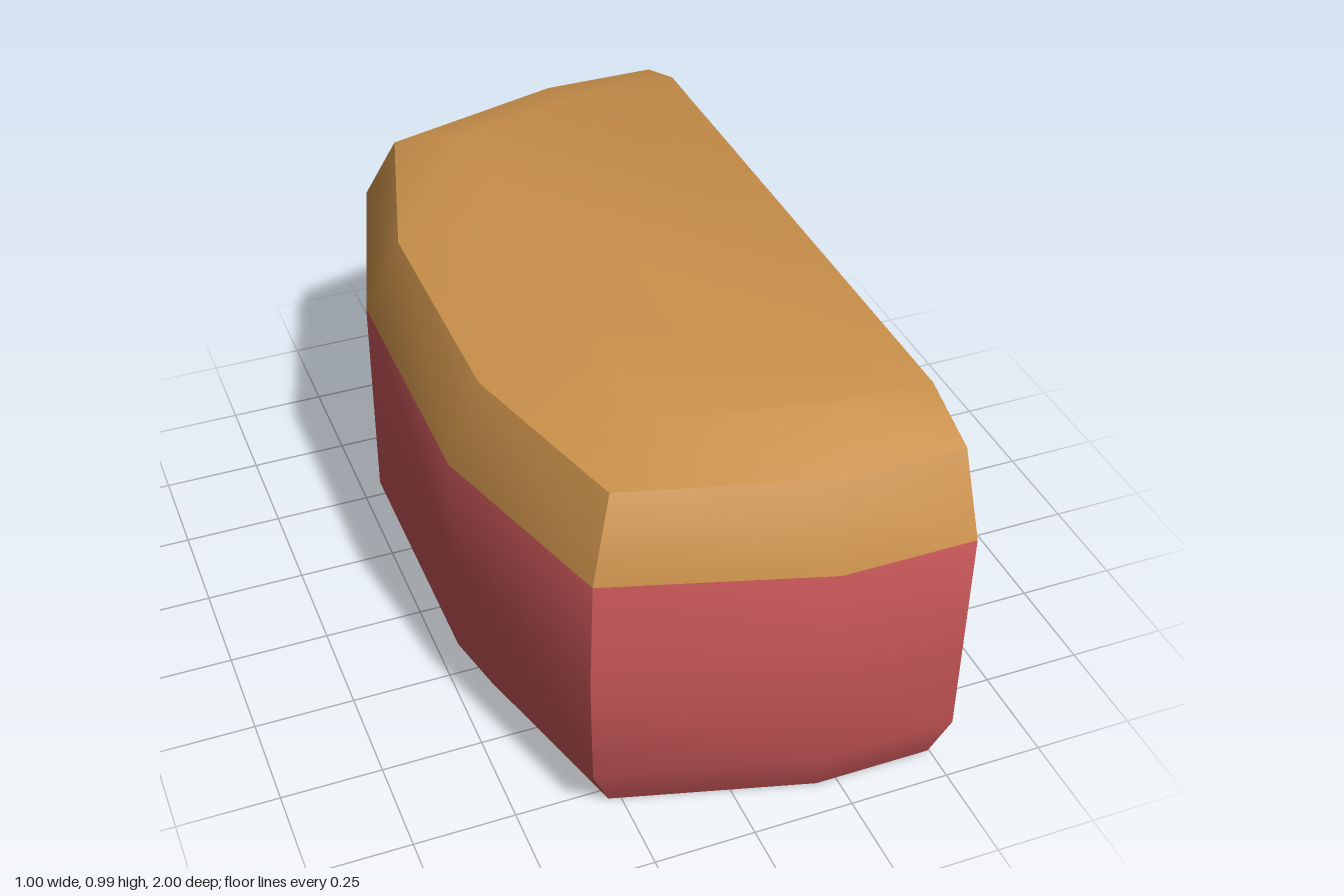
import * as THREE from 'three';
import { toCreasedNormals } from 'three/addons/utils/BufferGeometryUtils.js';

const mat = (name, color) => {
  const m = new THREE.MeshStandardMaterial({ color });
  m.name = name;
  return m;
};

const CUT = 0.496; // x of the flat cut side

// Half outline in plan, front half given as [x, z], mirrored to the back
const ring = (y, half, cornerY = y) => {
  const front = half.map(([x, z], i) => new THREE.Vector3(x, i === 2 ? cornerY : y, z));
  const back = front.map((p) => new THREE.Vector3(p.x, p.y, -p.z)).reverse();
  return [...front, ...back];
};

export function createModel() {
  const group = new THREE.Group();
  const red = mat('red', 0xc65557);
  const crust = mat('golden brown', 0xcc924b);
  const cream = mat('cream', 0xdeba8e);

  const small = [[CUT, 0.912], [0.2, 0.912], [-0.279, 0.78], [-0.411, 0.31]];
  const wide = [[CUT, 1], [0.17, 1], [-0.346, 0.855], [-0.498, 0.335]];
  const middle = [[CUT, 1], [0.17, 1], [-0.354, 0.86], [-0.498, 0.335]];
  const crown = [[CUT, 0.745], [0.24, 0.745], [-0.13, 0.655], [-0.135, 0.26]];

  const rings = [
    ring(0, small),
    ring(0.18, wide, 0.17),
    ring(0.46, middle),
    ring(0.738, wide, 0.748),
    ring(0.93, small),
    ring(0.99, crown),
  ];

  // Closed body: bottom cap, walls between rings, top cap
  const pos = [];
  const tri = (...pts) => pts.forEach((p) => pos.push(p.x, p.y, p.z));
  const bottom = rings[0], top = rings[rings.length - 1], n = bottom.length;
  for (let j = 1; j < n - 1; j++) tri(bottom[0], bottom[j], bottom[j + 1]);
  let split = 0;
  for (let i = 0; i < rings.length - 1; i++) {
    if (i === 3) split = pos.length / 3; // the crust starts here
    for (let j = 0; j < n; j++) {
      const k = (j + 1) % n;
      const a = rings[i][j], b = rings[i][k], c = rings[i + 1][k], d = rings[i + 1][j];
      tri(a, d, c);
      tri(a, c, b);
    }
  }
  for (let j = 1; j < n - 1; j++) tri(top[0], top[j + 1], top[j]);

  const geo = new THREE.BufferGeometry();
  geo.setAttribute('position', new THREE.Float32BufferAttribute(pos, 3));
  const body = toCreasedNormals(geo, 0.7);
  body.clearGroups();
  body.addGroup(0, split, 0);
  body.addGroup(split, pos.length / 3 - split, 1);
  const loaf = new THREE.Mesh(body, [red, crust]);
  loaf.name = 'body';
  group.add(loaf);

  // Pale panel on the flat cut side
  const panel = new THREE.Mesh(new THREE.BoxGeometry(0.004, 0.56, 1.5), cream);
  panel.name = 'sidePanel';
  panel.position.set(CUT, 0.459, 0);
  group.add(panel);

  return group;
}
